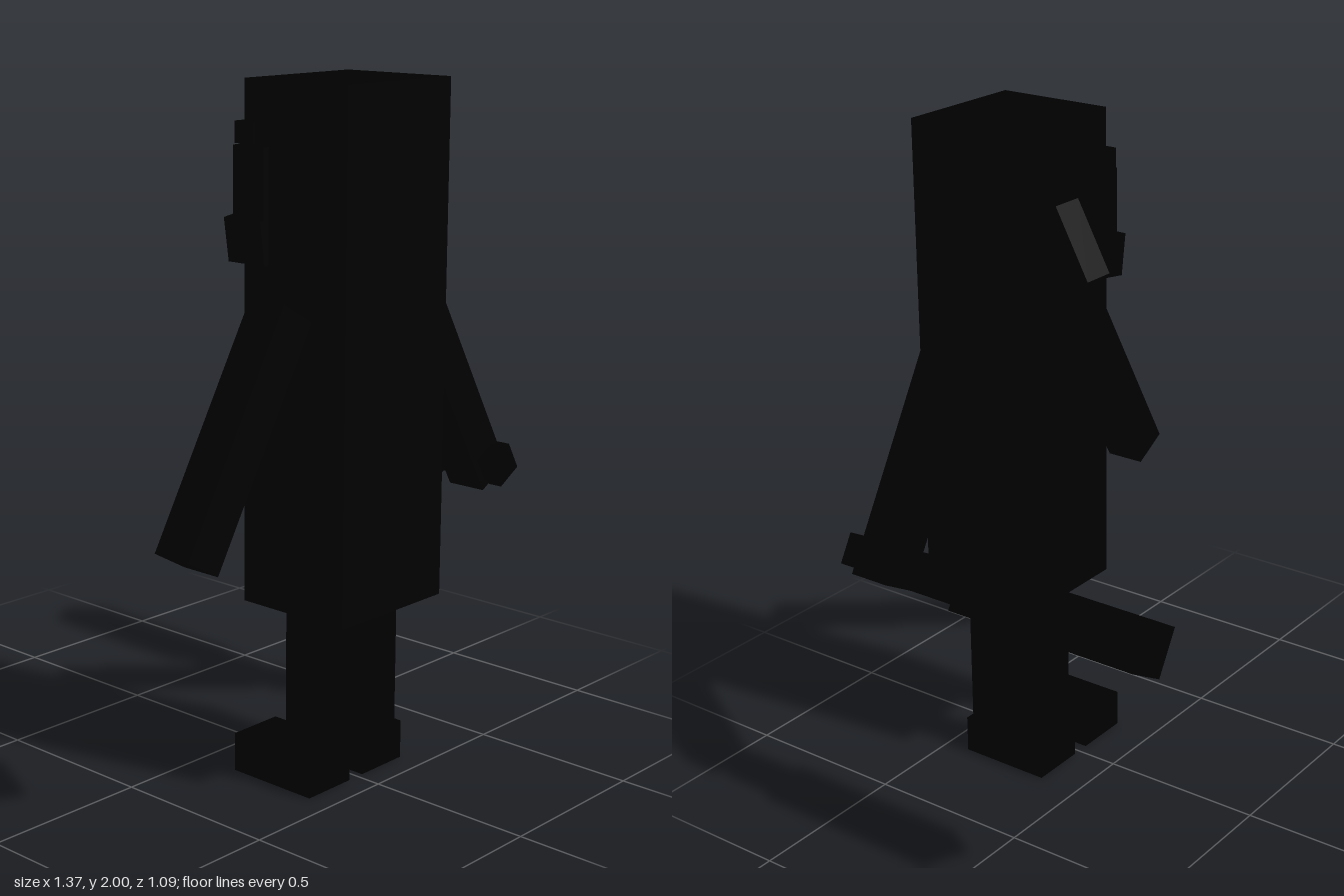
import * as THREE from 'three';

export function createModel() {
  const root = new THREE.Group();
  const black = new THREE.MeshStandardMaterial({ color: 0x000000 });
  black.name = 'black';

  // The figure faces -z; its middle line lies slightly off x = 0.
  const figure = new THREE.Group();
  figure.name = 'figure';
  figure.position.x = -0.0075;
  root.add(figure);

  const box = (parent, name, size, pos, rot = [0, 0, 0]) => {
    const mesh = new THREE.Mesh(new THREE.BoxGeometry(...size), black);
    mesh.name = name;
    mesh.position.set(...pos);
    mesh.rotation.set(...rot);
    parent.add(mesh);
    return mesh;
  };

  // Head and torso form one tall block
  box(figure, 'body', [0.424, 1.465, 0.365], [0, 1.2675, 0.3635]);

  // Face on the -z side
  box(figure, 'nose', [0.105, 0.23, 0.12], [0, 1.642, 0.163], [0.495, 0, 0]);
  box(figure, 'moustache', [0.405, 0.085, 0.08], [0, 1.585, 0.168]);

  for (const s of [-1, 1]) {
    const side = s > 0 ? 'left' : 'right';

    // Brows, eyes, sideburns and flared cheek whiskers
    box(figure, side + 'Brow', [0.17, 0.06, 0.07], [s * 0.132, 1.855, 0.184]);
    box(figure, side + 'Eye', [0.075, 0.075, 0.03], [s * 0.1, 1.735, 0.18]);
    box(figure, side + 'Sideburn', [0.1, 0.315, 0.113], [s * 0.182, 1.665, 0.2135]);
    box(figure, side + 'Whiskers', [0.1, 0.125, 0.134], [s * 0.187, 1.572, 0.203], [0, 0, -s * 0.15]);

    // Legs and feet
    box(figure, side + 'Leg', [0.115, 0.45, 0.117], [s * 0.115, 0.325, 0.363]);
    box(figure, side + 'Foot', [0.174, 0.115, 0.29], [s * 0.115, 0.0575, 0.277]);

    // Arms slope outward by 30 degrees
    box(figure, side + 'Arm', [0.125, 0.72, 0.124], [s * 0.445, 1.088, 0.363], [0, 0, s * Math.PI / 6]);
  }

  // Club held in the +x hand, pointing forward
  const club = new THREE.Group();
  club.name = 'club';
  club.position.set(0.585, 0.83, 0);
  club.rotation.z = Math.PI / 6;
  root.add(club);
  const sections = [
    ['clubHead', 0.143, -0.545, 0.065],
    ['clubNeck', 0.11, 0.065, 0.255],
    ['clubGrip', 0.078, 0.255, 0.443],
    ['clubPommel', 0.092, 0.443, 0.488],
  ];
  for (const [name, w, z0, z1] of sections) {
    box(club, name, [w, w, z1 - z0], [0, 0, (z0 + z1) / 2]);
  }

  return root;
}
